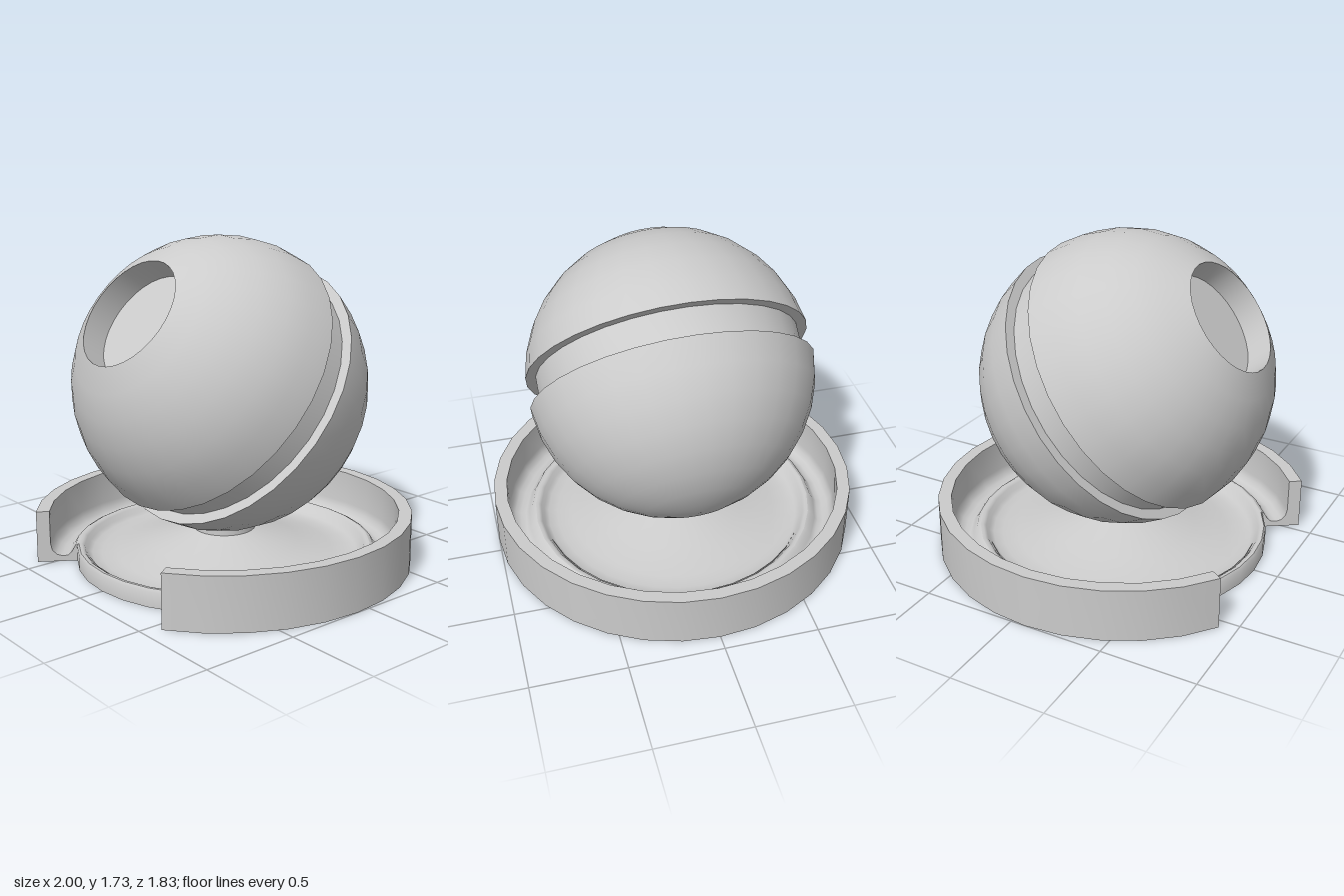
import * as THREE from 'three';
import { toCreasedNormals } from 'three/addons/utils/BufferGeometryUtils.js';

const material = new THREE.MeshStandardMaterial({ color: 0xcccccc });
const doubleSided = new THREE.MeshStandardMaterial({ color: 0xcccccc, side: THREE.DoubleSide });
const toPoints = (profile) => profile.map(([r, y]) => new THREE.Vector2(r, y));

// Turned part, 32 sides to a full turn: smooth around, sharp at profile corners
const STEP = Math.PI / 16;
function turned(name, profile, firstSide = 0, sides = 32) {
  const geometry = new THREE.LatheGeometry(toPoints(profile), sides, firstSide * STEP, sides * STEP);
  const mesh = new THREE.Mesh(toCreasedNormals(geometry, 0.8), material);
  mesh.name = name;
  return mesh;
}

// Points on a circle of radius R between two heights along the axis, moved along it by shift
function arc(R, from, to, steps, shift = 0) {
  const a = Math.asin(from / R), b = Math.asin(to / R);
  return Array.from({ length: steps + 1 }, (_, i) => {
    const t = a + ((b - a) * i) / steps;
    return [Math.max(0, R * Math.cos(t)), R * Math.sin(t) + shift];
  });
}

export function createModel() {
  const group = new THREE.Group();

  // Tilted ball with a groove round its middle and a round recess at its pole
  const R = 0.768;
  const ball = turned('ball', [
    ...arc(R, -R, -0.073, 8, -0.01),
    [0.71, -0.083], [0.71, 0.081],
    ...arc(R, 0.081, 0.708, 6),
    [0.296, 0.565], [0, 0.565],
  ]);
  ball.position.set(0, 0.959, 0.11);
  ball.rotation.x = Math.atan2(0.8, 0.6);
  group.add(ball);

  const base = new THREE.Group();
  base.name = 'base';
  base.position.z = 0.08;
  group.add(base);

  // Dish: low floor, raised lip hollow underneath, cone and neck under the ball
  base.add(turned('dish', [
    [0, 0.025], [0.71, 0.025], [0.725, 0.04], [0.735, 0.075], [0.765, 0.075],
    [0.77, 0], [0.79, 0], [0.79, 0.08], [0.78, 0.095], [0.765, 0.095],
    [0.75, 0.085], [0.735, 0.06], [0.71, 0.045], [0.66, 0.04], [0.58, 0.045],
    [0.4, 0.095], [0.165, 0.167], [0.165, 0.23], [0, 0.23],
  ]));

  // Outer wall and gutter, open at the front
  const section = [
    [0.78, 0], [1, 0], [1, 0.28], [0.93, 0.28], [0.93, 0.1],
    [0.922, 0.065], [0.9, 0.04], [0.87, 0.03], [0.84, 0.032], [0.82, 0.05],
    [0.8, 0.085], [0.78, 0.095], [0.78, 0],
  ];
  base.add(turned('rim', section, 3, 26));

  // Flat ends of the rim either side of the opening
  for (const side of [1, -1]) {
    const end = new THREE.Mesh(new THREE.ShapeGeometry(new THREE.Shape(toPoints(section))), doubleSided);
    end.name = side > 0 ? 'leftRimEnd' : 'rightRimEnd';
    end.rotation.y = side * 3 * STEP - Math.PI / 2;
    base.add(end);
  }
  return group;
}
